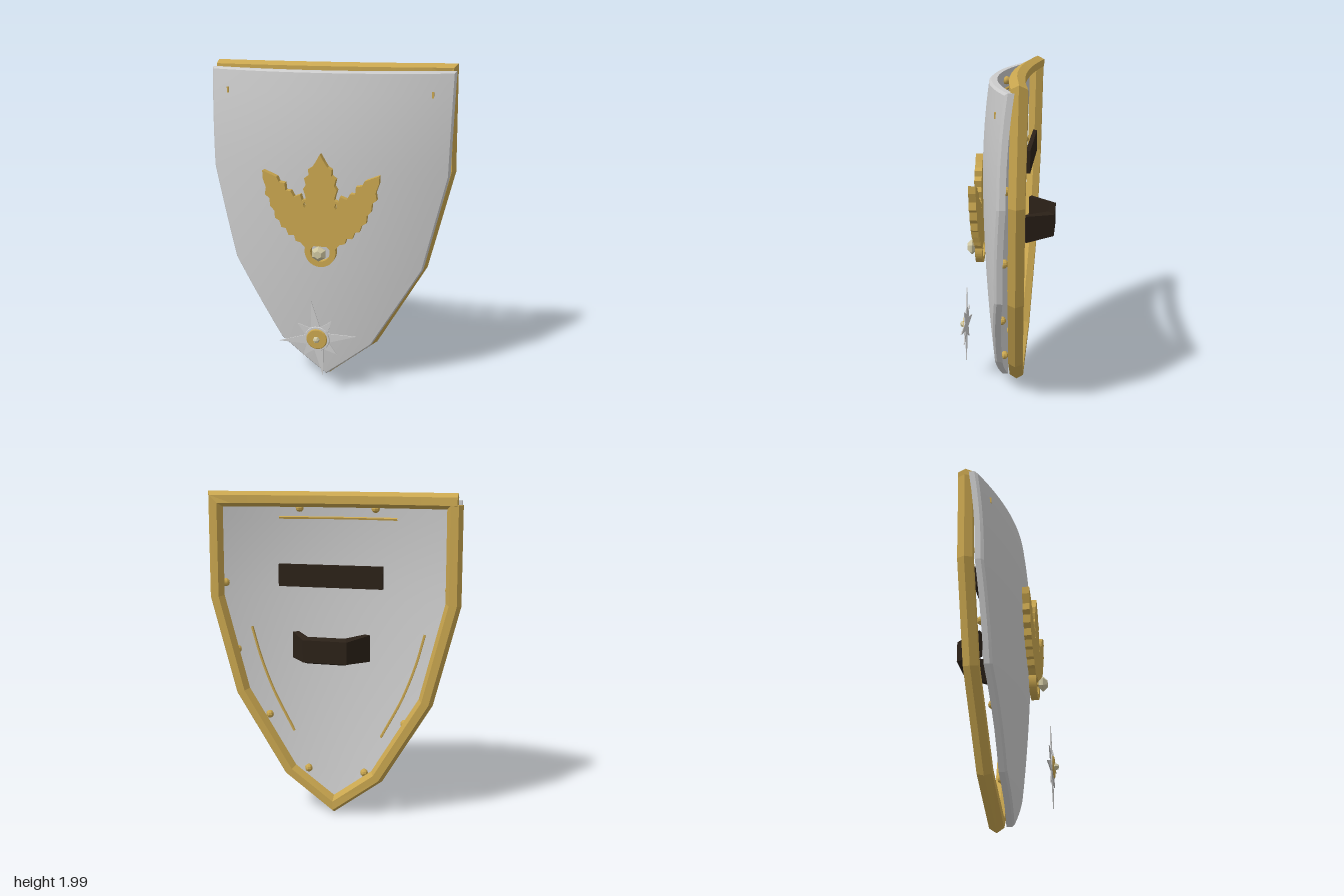
import * as THREE from 'three';

const steel = new THREE.MeshStandardMaterial({ color: 0xcccccc, side: THREE.DoubleSide });
const steelFlat = new THREE.MeshStandardMaterial({ color: 0xcccccc, side: THREE.DoubleSide, flatShading: true });
const gold = new THREE.MeshStandardMaterial({ color: 0xc9a64f, side: THREE.DoubleSide, flatShading: true });
const paleGold = new THREE.MeshStandardMaterial({ color: 0xcdc5a0, flatShading: true });
const leather = new THREE.MeshStandardMaterial({ color: 0x2b2118, flatShading: true });

const V = (x, y, z) => new THREE.Vector3(x, y, z);

// Half outline of the plate, tip to top: [half width, height]
const EDGE = [[0, 0.04], [0.29, 0.27], [0.595, 0.78], [0.73, 1.36], [0.74, 1.96]];
const THICK = 0.045;
const frontZ = (x, y) => 0.125 - (y < 1.4 ? 0.05 : 0.13) * (y - 1.4) ** 2 - 0.28 * x * x;
const backZ = (x, y) => frontZ(x, y) - THICK;

// Surface through equal rows of points
function loft(rows) {
  const n = rows[0].length, index = [];
  for (let i = 0; i < rows.length - 1; i++)
    for (let j = 0; j < n - 1; j++) {
      const a = i * n + j, d = a + n;
      index.push(a, a + 1, d + 1, a, d + 1, d);
    }
  const g = new THREE.BufferGeometry().setFromPoints(rows.flat());
  g.setIndex(index);
  g.computeVertexNormals();
  return g;
}

function add(parent, name, geometry, material, x = 0, y = 0, z = 0) {
  const m = new THREE.Mesh(geometry, material);
  m.name = name;
  m.position.set(x, y, z);
  parent.add(m);
  return m;
}

function buildPlate() {
  const plate = new THREE.Group();
  plate.name = 'shieldPlate';
  const side = [];
  EDGE.forEach(([w, y], i) => {
    if (i === 0) return side.push([w, y]);
    const [w0, y0] = EDGE[i - 1];
    for (let k = 1; k <= 5; k++) side.push([w0 + (w - w0) * k / 5, y0 + (y - y0) * k / 5]);
  });
  const inset = (x, y) => {
    const px = x * 0.985, py = 1 + (y - 1) * 0.988;
    return V(px, py, frontZ(px, py));
  };
  const back = (x, y) => V(x, y, backZ(x, y));
  const cols = 28;
  const sheet = f => side.map(([w, y]) =>
    Array.from({ length: cols + 1 }, (_, j) => f(w * (2 * j / cols - 1), y)));
  add(plate, 'plateFront', loft(sheet(inset)), steel);
  add(plate, 'plateBack', loft(sheet(back).reverse()), steel);
  // Edge wall with a narrow front bevel
  const round = [...side];
  for (let j = cols - 1; j > 0; j--) round.push([0.74 * (2 * j / cols - 1), 1.96]);
  [...side].reverse().forEach(([w, y]) => round.push([-w, y]));
  add(plate, 'plateEdge', loft([
    round.map(p => back(...p)),
    round.map(([x, y]) => V(x, y, frontZ(x, y) - 0.012)),
    round.map(p => inset(...p)),
  ]), steelFlat);
  return plate;
}

// Hexagonal bar following the outline behind the plate
function buildRim() {
  const half = [[0.275, 0.28, -0.085], [0.568, 0.785, -0.11], [0.712, 1.375, -0.125]];
  const path = [V(-0.705, 1.935, -0.135)];
  [...half].reverse().forEach(([x, y, z]) => path.push(V(-x, y, z)));
  path.push(V(0, 0.065, -0.068));
  half.forEach(p => path.push(V(...p)));
  for (let k = 0; k <= 14; k++) {
    const x = 0.7 - 1.42 * k / 14;
    path.push(V(x, 1.955, -0.08 - 0.115 * x * x));
  }
  const normal = (a, b) => new THREE.Vector2(b.y - a.y, a.x - b.x).normalize();
  const last = path.length - 1;
  const rings = path.map((p, i) => {
    const n0 = normal(path[Math.max(i - 1, 0)], path[Math.max(i, 1)]);
    const n1 = normal(path[Math.min(i, last - 1)], path[Math.min(i + 1, last)]);
    const m = n0.clone().add(n1).divideScalar(1 + n0.dot(n1));
    return Array.from({ length: 7 }, (_, k) => {
      const a = -k * Math.PI / 3, u = 0.045 * Math.cos(a);
      return V(p.x + m.x * u, p.y + m.y * u, p.z + 0.05 * Math.sin(a));
    });
  });
  const cap = p => Array.from({ length: 7 }, () => p.clone());
  return loft([cap(path[0]), ...rings, cap(path[last])]);
}

function buildEmblem() {
  const emblem = new THREE.Group();
  emblem.name = 'leafEmblem';
  // Right half of the three serrated leaves, from the middle tip down
  const half = [
    [0.025, 1.45], [0.045, 1.42], [0.07, 1.405], [0.068, 1.37], [0.095, 1.35], [0.085, 1.31],
    [0.102, 1.285], [0.09, 1.25], [0.085, 1.225], [0.11, 1.215], [0.12, 1.25], [0.16, 1.235],
    [0.18, 1.27], [0.21, 1.27], [0.215, 1.315], [0.25, 1.32], [0.265, 1.35], [0.35, 1.385],
    [0.35, 1.34], [0.33, 1.285], [0.337, 1.24], [0.31, 1.22], [0.305, 1.17], [0.28, 1.145],
    [0.277, 1.1], [0.25, 1.085], [0.238, 1.045], [0.21, 1.04], [0.195, 1.0], [0.16, 1.0],
    [0.15, 0.965], [0.12, 0.958], [0.09, 0.925], [0.06, 0.92], [0.04, 0.94]];
  const mirrored = [...half].reverse().map(([x, y]) => [-x, y]);
  const leaf = new THREE.Shape([[0, 1.495], ...half, ...mirrored].map(p => new THREE.Vector2(...p)));
  for (const s of [-1, 1])
    leaf.holes.push(new THREE.Path([[0.095, 1.21], [0.104, 1.185], [0.095, 1.172], [0.086, 1.185]]
      .map(([x, y]) => new THREE.Vector2(s * x, y))));
  add(emblem, 'leaves', new THREE.ExtrudeGeometry(leaf, { depth: 0.043, bevelEnabled: false }), gold, 0, 0, 0.137);
  // Crescent cradle and gem under the leaves
  const cradle = new THREE.Shape();
  cradle.absarc(0, 0, 0.095, Math.PI * 0.93, Math.PI * 2.07, false);
  cradle.absarc(0, 0, 0.06, Math.PI * 2.07, Math.PI * 0.93, true);
  add(emblem, 'cradle', new THREE.ExtrudeGeometry(cradle,
    { depth: 0.043, bevelEnabled: false, curveSegments: 14 }), gold, 0, 0.907, 0.137);
  const gem = new THREE.LatheGeometry([[0, -0.03], [0.022, -0.026], [0.047, -0.004], [0.047, 0.004],
    [0.024, 0.027], [0, 0.027]].map(p => new THREE.Vector2(...p)), 6).rotateX(Math.PI / 2);
  add(emblem, 'gem', gem, paleGold, 0, 0.905, 0.211);
  add(emblem, 'gemPin', new THREE.CylinderGeometry(0.012, 0.012, 0.06, 6).rotateX(Math.PI / 2), gold, 0, 0.905, 0.17);
  return emblem;
}

function buildStar() {
  const star = new THREE.Group();
  star.name = 'starOrnament';
  const pts = [];
  for (let k = 0; k < 16; k++) {
    const r = k % 2 ? 0.075 : k % 4 ? 0.15 : 0.24;
    const a = k * Math.PI / 8;
    pts.push(new THREE.Vector2(r * Math.cos(a), r * Math.sin(a)));
  }
  add(star, 'starRays', new THREE.ExtrudeGeometry(new THREE.Shape(pts), { depth: 0.006, bevelEnabled: false }), steelFlat);
  const disc = (name, r0, r1, h, mat, z) =>
    add(star, name, new THREE.CylinderGeometry(r0, r1, h, 20).rotateX(Math.PI / 2), mat, 0, 0, z);
  disc('starCollar', 0.076, 0.08, 0.01, steelFlat, 0.007);
  disc('starDisc', 0.06, 0.07, 0.012, gold, 0.012);
  add(star, 'starHub', new THREE.SphereGeometry(0.022, 6, 4).rotateX(Math.PI / 2), paleGold, 0, 0, 0.023);
  star.position.set(0, 0.38, 0.25);
  star.rotation.z = 0.15;
  return star;
}

function buildGrip() {
  const shape = new THREE.Shape([[-0.235, 0.14], [-0.2, 0.125], [-0.11, 0.262], [0.11, 0.262], [0.2, 0.125],
    [0.235, 0.14], [0.13, 0.297], [-0.13, 0.297]].map(p => new THREE.Vector2(...p)));
  const g = new THREE.ExtrudeGeometry(shape, { depth: 0.16, bevelEnabled: false }).translate(0, 0, -0.08);
  // Narrow the outer face a little
  const p = g.attributes.position;
  for (let i = 0; i < p.count; i++) if (p.getY(i) > 0.28) p.setZ(i, p.getZ(i) * 0.82);
  g.computeVertexNormals();
  return g.rotateX(-Math.PI / 2);
}

export function createModel() {
  const model = new THREE.Group();
  model.name = 'shield';
  model.add(buildPlate(), buildEmblem(), buildStar());
  add(model, 'rim', buildRim(), gold);

  // Arm strap and hand grip on the back
  add(model, 'armStrap', new THREE.BoxGeometry(0.62, 0.13, 0.025), leather, 0, 1.52, -0.153);
  add(model, 'handGrip', buildGrip(), leather, 0, 1.1, 0);

  // Rivets, inlay strips and small front studs, mirrored
  const strip = pts => new THREE.TubeGeometry(new THREE.CatmullRomCurve3(
    pts.map(([x, y]) => V(x, y, backZ(x, y)))), 20, 0.009, 5, false);
  for (const s of [-1, 1]) {
    for (const [x, y] of [[0.23, 1.9], [0.68, 1.45], [0.62, 1.03], [0.43, 0.61], [0.18, 0.265]])
      add(model, 'rivet', new THREE.SphereGeometry(0.025, 8, 6), gold, s * x, y, backZ(x, y) - 0.015);
    add(model, 'sideInlay', strip([[0.54, 1.17], [0.49, 0.98], [0.41, 0.76], [0.28, 0.5]].map(([x, y]) => [s * x, y])), gold);
    add(model, 'frontStud', new THREE.BoxGeometry(0.012, 0.035, 0.012), gold, s * 0.618, 1.83, frontZ(0.618, 1.83));
  }
  add(model, 'topInlay', strip([[-0.36, 1.84], [-0.18, 1.84], [0, 1.84], [0.18, 1.84], [0.36, 1.84]]), gold);
  return model;
}
